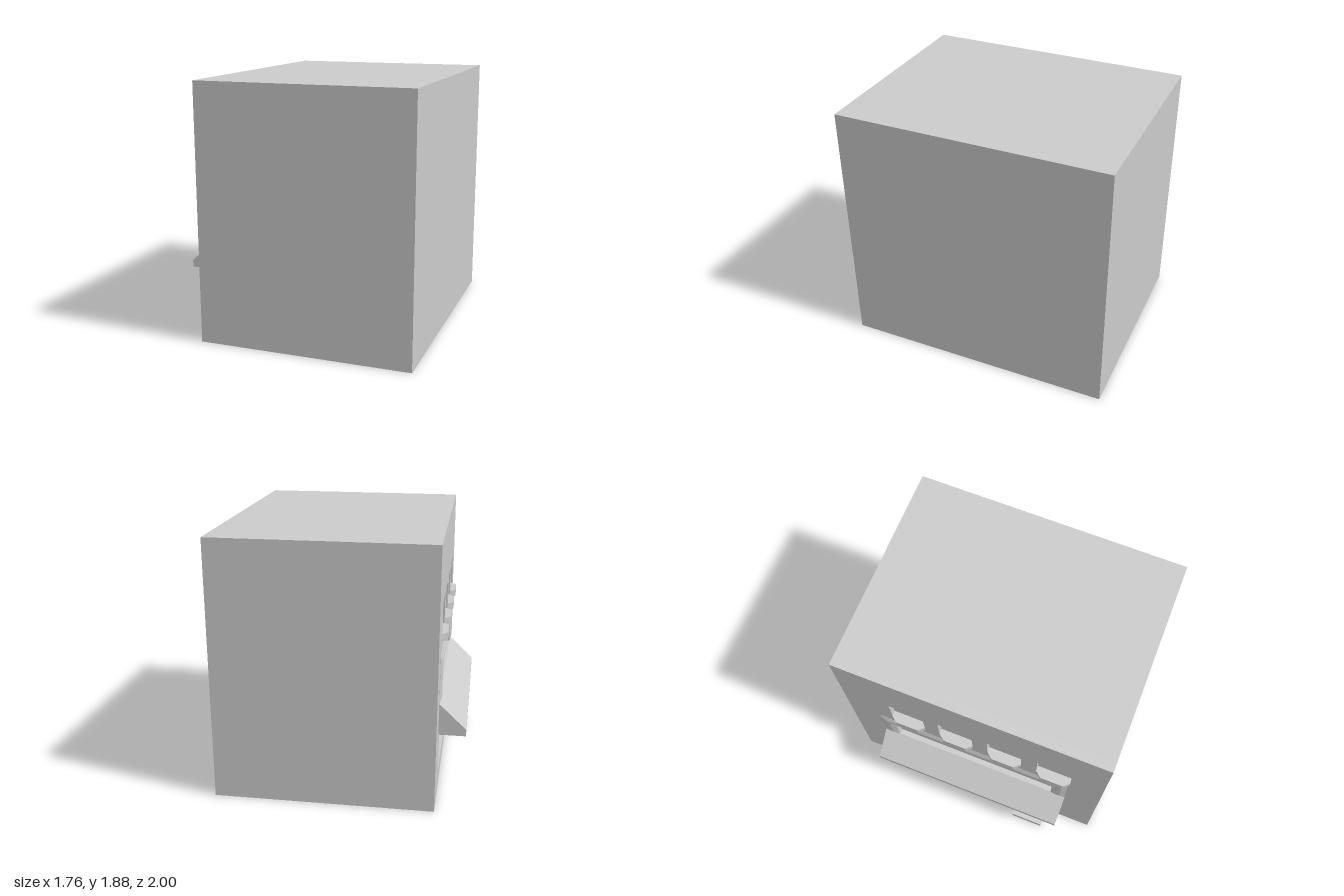
import * as THREE from 'three';

const WALL = -0.687; // outer plane of the facade, which faces -x
const BACK = -0.612; // rear plane of the facade layer
const H = 1.88;
const material = new THREE.MeshStandardMaterial({ color: 0xcccccc, flatShading: true });

export function createModel() {
  const model = new THREE.Group();
  const add = (name, geometry) => {
    const mesh = new THREE.Mesh(geometry, material);
    mesh.name = name;
    model.add(mesh);
    return mesh;
  };
  const box = (name, x0, x1, y0, y1, z0, z1) =>
    add(name, new THREE.BoxGeometry(x1 - x0, y1 - y0, z1 - z0)
      .translate((x0 + x1) / 2, (y0 + y1) / 2, (z0 + z1) / 2));
  const outline = (points) => new THREE.Shape(points.map(([a, b]) => new THREE.Vector2(a, b)));
  const rect = (z0, z1, y0, y1) => [[z0, y0], [z1, y0], [z1, y1], [z0, y1]];
  // A shape drawn in (z, y), extruded towards -x from the plane x
  const facing = (shape, x, options) =>
    new THREE.ExtrudeGeometry(shape, { bevelEnabled: false, ...options })
      .rotateY(-Math.PI / 2).translate(x, 0, 0);

  // Openings: z range, y range and depth of the recess
  const upperCentres = [-0.503, -0.126, 0.251, 0.63];
  const openings = [
    ...upperCentres.map((c) => ['upperWindow', c - 0.13, c + 0.13, 1.175, 1.403, 0.04]),
    ['displayWindow', -0.635, 0.635, 0.7, 0.94, 0.04],
    ['shopWindow', -0.635, 0.24, 0.125, 0.47, 0.04],
    ['door', 0.386, 0.635, 0.12, 0.47, 0.075],
  ];

  // Building block and pierced facade layer
  box('building', BACK, 0.88, 0, H, -1, 1);
  const wall = outline(rect(-1, 1, 0, H));
  for (const [, z0, z1, y0, y1] of openings) wall.holes.push(outline(rect(z0, z1, y0, y1)));
  add('facade', facing(wall, BACK, { depth: BACK - WALL }));

  // Panes closing the shallow recesses
  for (const [name, z0, z1, y0, y1, depth] of openings) {
    if (WALL + depth < BACK - 0.001) box(name, WALL + depth, BACK, y0, y1, z0, z1);
  }

  // Tapered sills below the upper windows
  const sill = outline([[WALL, -0.13], [WALL, 0.13], [-0.725, 0.085], [-0.725, -0.085]]);
  for (const c of upperCentres) {
    add('windowSill', new THREE.ExtrudeGeometry(sill, { depth: 0.055, bevelEnabled: false })
      .rotateX(-Math.PI / 2)).position.set(0, 1.12, c);
  }

  // Bevelled surround of the display window
  const surround = outline([
    [-0.75, 0.7], [-0.635, 0.7], [-0.635, 0.94], [0.635, 0.94],
    [0.635, 0.7], [0.75, 0.7], [0.75, 1.055], [-0.75, 1.055],
  ]);
  add('windowSurround', facing(surround, WALL, {
    depth: 0.001, bevelEnabled: true, bevelThickness: 0.014,
    bevelSize: 0.042, bevelOffset: -0.042, bevelSegments: 1,
  }));

  // Sloping awning over the shop front
  const awning = outline([[WALL, 0.47], [WALL, 0.703], [-0.88, 0.52], [-0.88, 0.47]]);
  add('awning', new THREE.ExtrudeGeometry(awning, { depth: 1.5, bevelEnabled: false })
    .translate(0, 0, -0.75));

  // Two entrance steps
  const steps = outline([
    [WALL, 0], [WALL, 0.12], [-0.763, 0.12], [-0.763, 0.06], [-0.84, 0.06], [-0.84, 0],
  ]);
  add('entranceSteps', new THREE.ExtrudeGeometry(steps, { depth: 0.249, bevelEnabled: false })
    .translate(0, 0, 0.386));

  return model;
}
